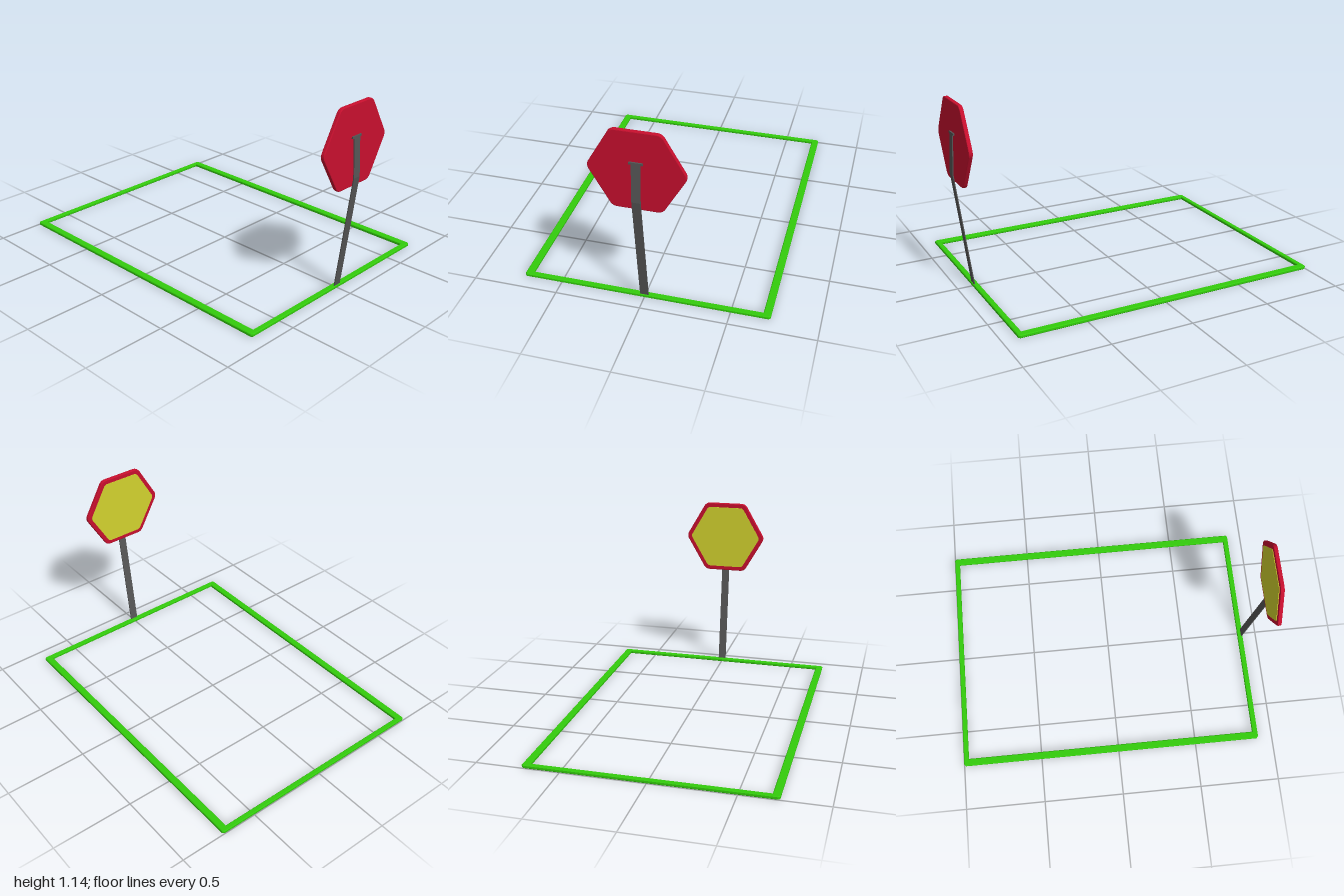
import * as THREE from 'three';

const material = (color) => new THREE.MeshStandardMaterial({ color });

function addMesh(group, name, geometry, color) {
  const mesh = new THREE.Mesh(geometry, material(color));
  mesh.name = name;
  group.add(mesh);
  return mesh;
}

// Flat-topped hexagon with rounded corners
function roundedHexagon(apothem, radius) {
  const shape = new THREE.Shape();
  const reach = (apothem - radius) / Math.cos(Math.PI / 6);
  for (let i = 0; i < 6; i++) {
    const a = (i * Math.PI) / 3;
    shape.absarc(reach * Math.cos(a), reach * Math.sin(a), radius, a - Math.PI / 6, a + Math.PI / 6, false);
  }
  shape.closePath();
  return shape;
}

// Rectangle with small cut corners
function cutRectangle(Type, x0, x1, y0, y1, c) {
  return new Type([
    [x0 + c, y0], [x1 - c, y0], [x1, y0 + c], [x1, y1 - c],
    [x1 - c, y1], [x0 + c, y1], [x0, y1 - c], [x0, y0 + c],
  ].map(([x, y]) => new THREE.Vector2(x, y)));
}

export function createModel() {
  const model = new THREE.Group();
  model.name = 'signAndBoundary';

  // Ground frame, bevelled along its edges
  const b = 0.004;
  const outline = cutRectangle(THREE.Shape, -0.726 + b, 0.726 - b, -0.91 + b, 1 - b, 0.008);
  outline.holes.push(cutRectangle(THREE.Path, -0.682 - b, 0.682 + b, -0.877 - b, 0.969 + b, 0.001));
  const frame = new THREE.ExtrudeGeometry(outline, {
    depth: 0.02 - 2 * b, bevelThickness: b, bevelSize: b, bevelSegments: 1,
  });
  frame.rotateX(-Math.PI / 2).translate(0, b, 0);
  addMesh(model, 'groundFrame', frame, 0x33cc0c);

  // Bent flat post, drawn from the side as (z, y)
  const t = 0.006;
  const bend = [[0.904, 0.01], [1.0, 0.72], [0.988, 0.96]];
  const profile = [...bend, ...bend.map(([z, y]) => [z - t, y]).reverse()];
  const post = new THREE.ExtrudeGeometry(
    new THREE.Shape(profile.map(([z, y]) => new THREE.Vector2(z, y))),
    { depth: 0.05, bevelEnabled: false },
  );
  post.rotateY(-Math.PI / 2).translate(0.025, 0, 0);
  addMesh(model, 'post', post, 0x555555);

  // Small cross plate joining the post to the sign
  addMesh(model, 'postBracket', new THREE.BoxGeometry(0.076, 0.012, 0.012), 0x555555)
    .position.set(0, 0.954, 0.982);

  // Sign plate with a softened rim
  const sign = new THREE.Group();
  sign.name = 'sign';
  sign.position.set(0, 0.902, 0);
  model.add(sign);
  const plate = new THREE.ExtrudeGeometry(roundedHexagon(0.233, 0.042), {
    depth: 0.014, bevelThickness: 0.005, bevelSize: 0.005, bevelSegments: 2, curveSegments: 6,
  });
  plate.translate(0, 0, 0.96);
  addMesh(sign, 'signPlate', plate, 0xc80f2e);

  // Yellow panel on the side facing the enclosed area
  const panel = new THREE.ExtrudeGeometry(roundedHexagon(0.21, 0.03), {
    depth: 0.006, bevelEnabled: false, curveSegments: 6,
  });
  panel.translate(0, 0, 0.952);
  addMesh(sign, 'signPanel', panel, 0xd2d22e);

  return model;
}
